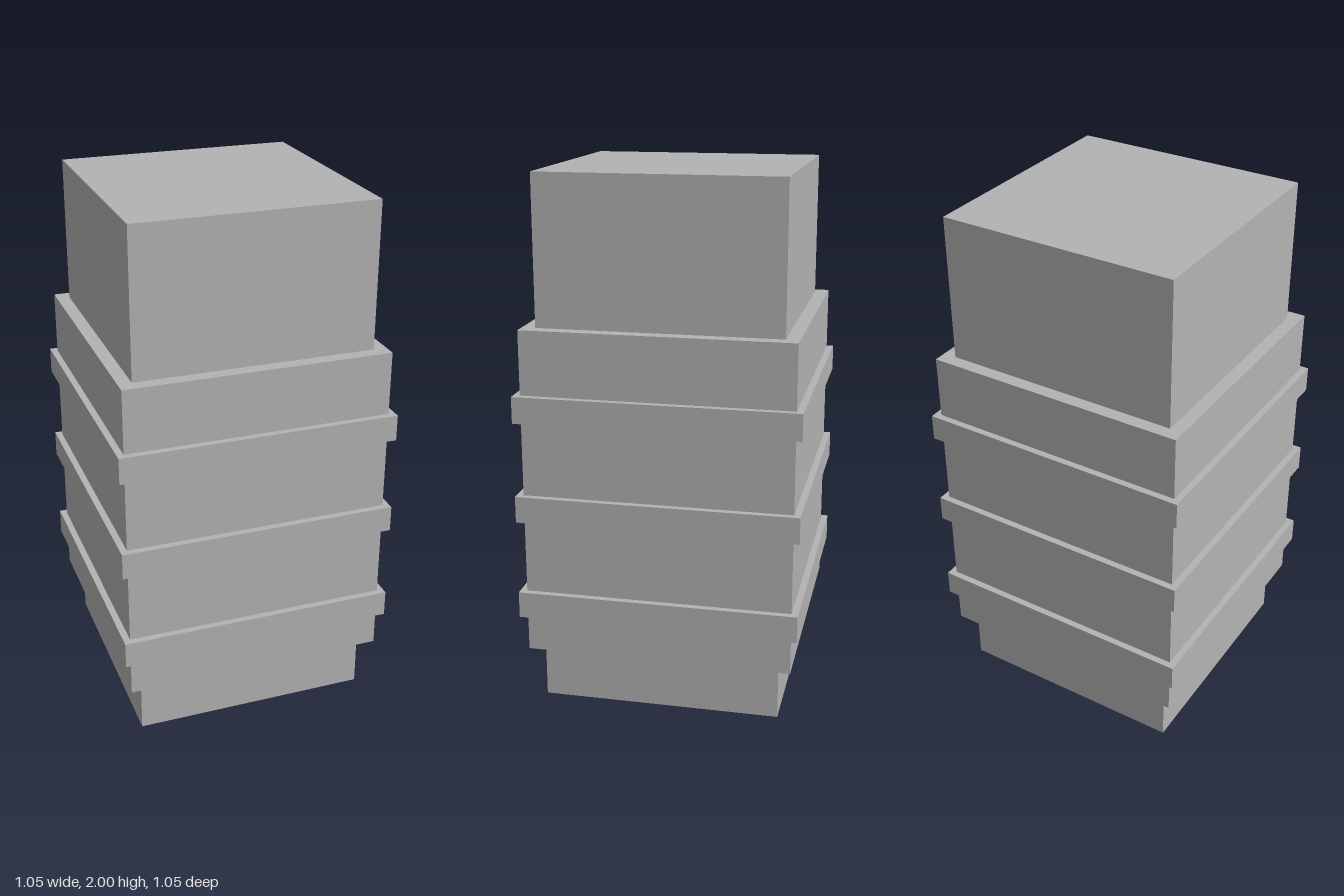
import * as THREE from 'three';

export function createModel() {
  const model = new THREE.Group();
  const grey = new THREE.MeshStandardMaterial({ color: 0xb3b3b3 });
  grey.name = 'grey';

  // Square block of the given width between two heights
  function block(name, width, bottom, top) {
    const mesh = new THREE.Mesh(new THREE.BoxGeometry(width, top - bottom, width), grey);
    mesh.name = name;
    mesh.position.y = (bottom + top) / 2;
    model.add(mesh);
  }

  // Core column, showing as the plinth below and the head above
  block('core', 0.9, 0, 2);

  // Wider sleeve around the core
  block('sleeve', 1, 0.21, 1.45);

  // Three evenly spaced raised bands
  ['lowerBand', 'middleBand', 'upperBand'].forEach((name, i) => {
    const bottom = 0.35 + i * 0.38;
    block(name, 1.05, bottom, bottom + 0.1);
  });

  return model;
}
